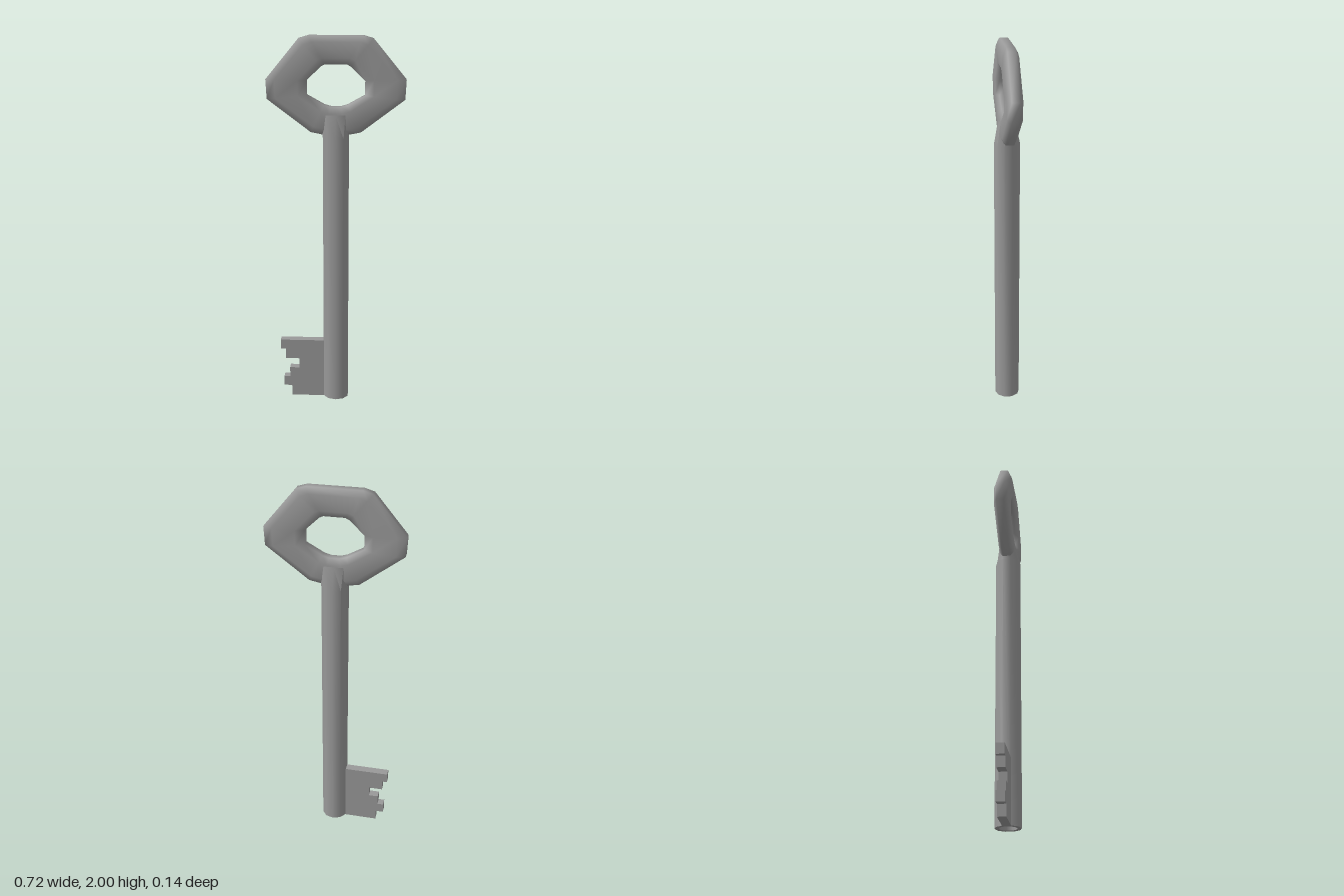
import * as THREE from 'three';
import { toCreasedNormals } from 'three/addons/utils/BufferGeometryUtils.js';

const material = new THREE.MeshStandardMaterial({ color: 0x999999 });

function addPart(group, name, geometry) {
  const mesh = new THREE.Mesh(geometry, material);
  mesh.name = name;
  group.add(mesh);
}

// Ring handle: an octagonal section swept between an outer and an inner outline.
function bowGeometry() {
  // [outer x, outer y, inner x, inner y], right half from top to bottom
  const half = [
    [0.14, 2.0, 0.055, 1.857], [0.19, 1.985, 0.075, 1.847],
    [0.36, 1.78, 0.15, 1.775], [0.355, 1.68, 0.15, 1.70],
    [0.13, 1.51, 0.06, 1.65], [0.065, 1.497, 0.025, 1.64],
  ];
  const mirrored = half.map(([ox, oy, ix, iy]) => [-ox, oy, -ix, iy]).reverse();
  const stations = [...half, ...mirrored];
  // [fraction from inner to outer, z]
  const section = [
    [0, 0.021], [0.22, 0.039], [0.78, 0.039], [1, 0.021],
    [1, -0.021], [0.78, -0.039], [0.22, -0.039], [0, -0.021],
  ];
  const n = stations.length, m = section.length;
  const positions = [], indices = [];
  stations.forEach(([ox, oy, ix, iy], i) => {
    section.forEach(([t, z], j) => {
      positions.push(ix + (ox - ix) * t, iy + (oy - iy) * t, z);
      const a = i * m + j, b = ((i + 1) % n) * m + j;
      const c = i * m + (j + 1) % m, d = ((i + 1) % n) * m + (j + 1) % m;
      indices.push(a, b, c, b, d, c);
    });
  });
  const geometry = new THREE.BufferGeometry();
  geometry.setAttribute('position', new THREE.Float32BufferAttribute(positions, 3));
  geometry.setIndex(indices);
  geometry.computeVertexNormals();
  return geometry;
}

// Ten-sided tube with a bored lower end; its top flares and flattens flush into the bow.
function shaftGeometry() {
  const profile = [
    [0, 0.35], [0.046, 0.35], [0.046, 0], [0.068, 0], [0.068, 1.48], [0.06, 1.6], [0, 1.6],
  ].map(([r, y]) => new THREE.Vector2(r, y));
  const geometry = new THREE.LatheGeometry(profile, 10);
  geometry.scale(1.04, 1, 1);
  const p = geometry.attributes.position;
  for (let i = 0; i < p.count; i++) {
    if (p.getY(i) < 1.5) continue;
    p.setX(i, p.getX(i) * 1.4);
    p.setZ(i, THREE.MathUtils.clamp(p.getZ(i), -0.039, 0.039));
  }
  return toCreasedNormals(geometry, 0.75);
}

// Notched plate, its inner edge buried in the shaft wall.
function bitGeometry() {
  const outline = [
    [-0.055, 0], [-0.055, 0.338], [-0.307, 0.338], [-0.307, 0.283],
    [-0.28, 0.283], [-0.28, 0.226], [-0.205, 0.226], [-0.205, 0.17],
    [-0.257, 0.17], [-0.257, 0.115], [-0.29, 0.115], [-0.29, 0.06],
    [-0.247, 0.06], [-0.247, 0],
  ].map(([x, y]) => new THREE.Vector2(x, y));
  const depth = 0.044;
  const geometry = new THREE.ExtrudeGeometry(new THREE.Shape(outline), { depth, bevelEnabled: false });
  geometry.translate(0, 0, -depth / 2);
  return geometry;
}

export function createModel() {
  const key = new THREE.Group();
  key.name = 'key';
  addPart(key, 'bow', bowGeometry());
  addPart(key, 'shaft', shaftGeometry());
  addPart(key, 'bit', bitGeometry());
  return key;
}
